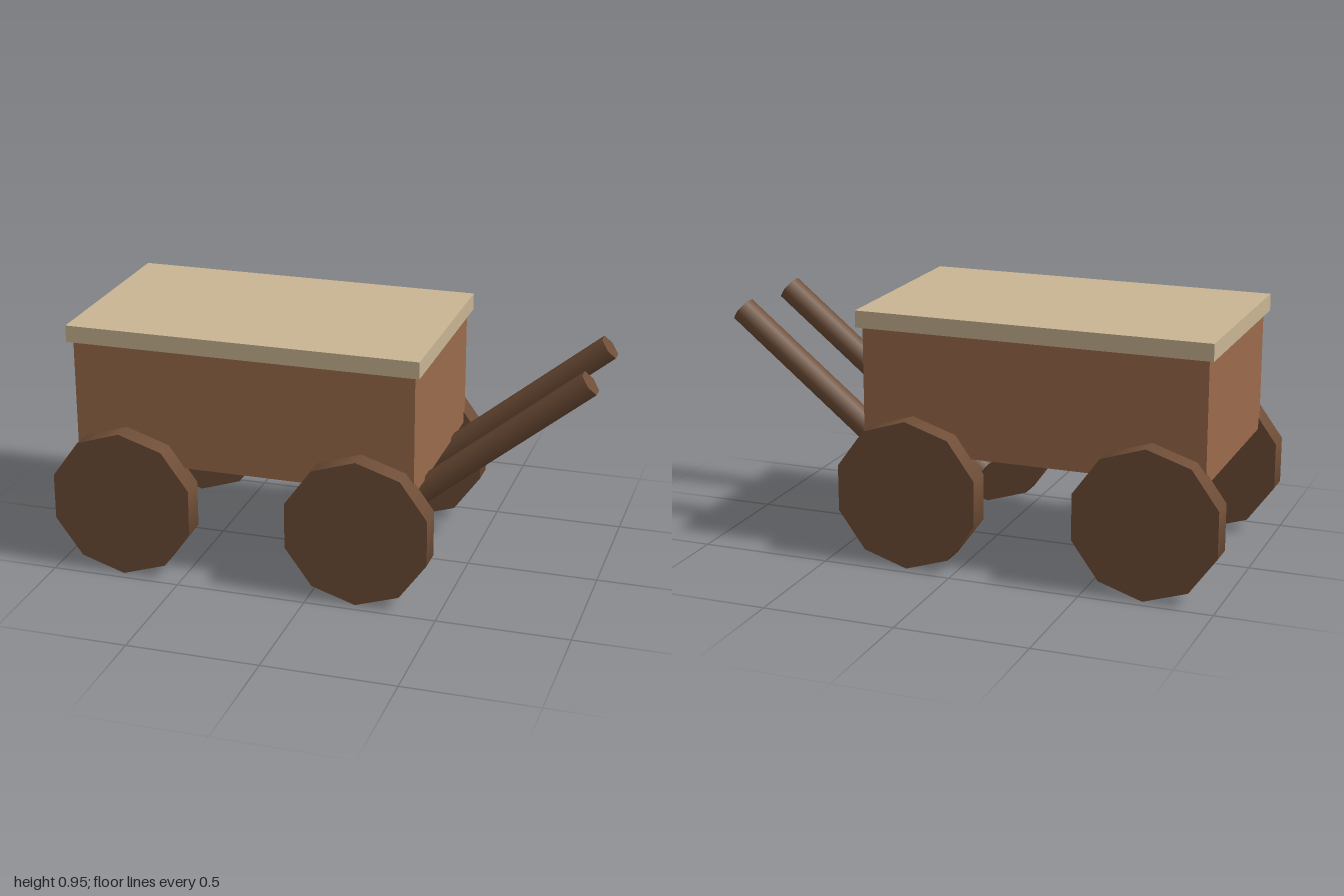
import * as THREE from 'three';

export function createModel() {
  const cart = new THREE.Group();
  cart.name = 'handCart';

  const material = (name, color) => {
    const m = new THREE.MeshStandardMaterial({ color });
    m.name = name;
    return m;
  };
  const bodyWood = material('body wood', 0x9b6b4b);
  const darkWood = material('dark wood', 0x6f4e37);
  const paleWood = material('pale wood', 0xcab593);

  const add = (name, geometry, mat, x, y, z) => {
    const mesh = new THREE.Mesh(geometry, mat);
    mesh.name = name;
    mesh.position.set(x, y, z);
    cart.add(mesh);
    return mesh;
  };

  // Box body and overhanging lid
  add('body', new THREE.BoxGeometry(1.31, 0.46, 0.766), bodyWood, -0.273, 0.658, 0);
  add('lid', new THREE.BoxGeometry(1.35, 0.064, 0.806), paleWood, -0.273, 0.92, 0);

  // Ten-sided solid wheels, one corner pointing down
  const wheel = new THREE.CylinderGeometry(0.284, 0.284, 0.098, 10).rotateX(Math.PI / 2);
  // Six-sided handle, running along x before tilting
  const handle = new THREE.CylinderGeometry(0.05, 0.05, 1.077, 6).rotateZ(-Math.PI / 2);

  for (const side of [-1, 1]) {
    add('rearWheel', wheel, darkWood, -0.73, 0.284, side * 0.416);
    add('frontWheel', wheel, darkWood, 0.185, 0.284, side * 0.416);
    // Handles rise forward from beneath the body
    add('handle', handle, darkWood, 0.554, 0.525, side * 0.197).rotation.z = 0.68;
  }

  return cart;
}
